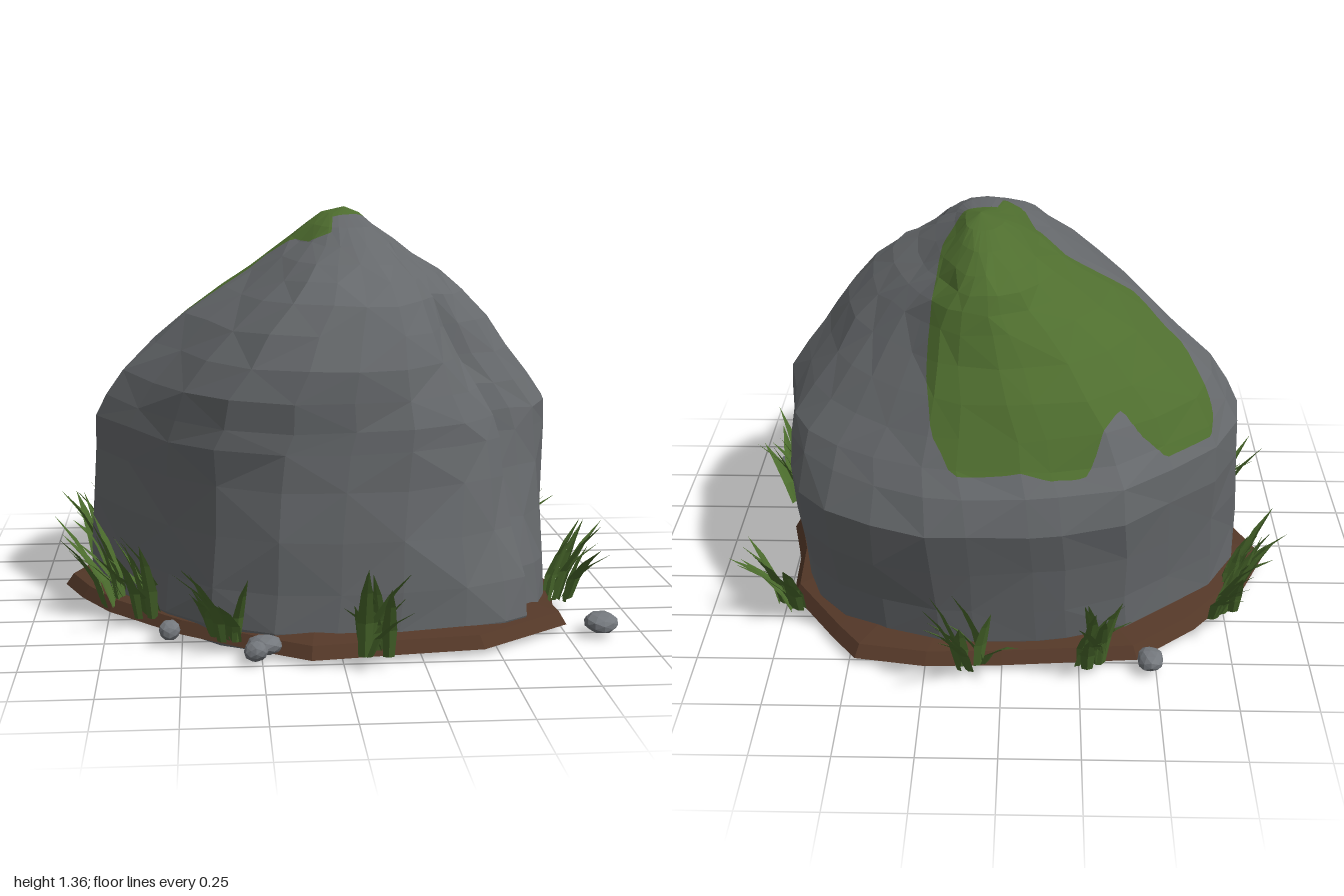
import * as THREE from 'three';

const mat = (name, color, opts = {}) => {
  const m = new THREE.MeshStandardMaterial({ color, flatShading: true, side: THREE.DoubleSide, ...opts });
  m.name = name;
  return m;
};

// Small seeded random generator
let seed = 7;
const rand = () => {
  seed = (seed * 16807) % 2147483647;
  return seed / 2147483647;
};
const spread = (a) => (rand() * 2 - 1) * a;

const meshFrom = (name, positions, material) => {
  const g = new THREE.BufferGeometry();
  g.setAttribute('position', new THREE.Float32BufferAttribute(positions, 3));
  g.computeVertexNormals();
  const m = new THREE.Mesh(g, material);
  m.name = name;
  return m;
};

// Triangles between stacked closed loops of Vector3
function loft(loops) {
  const tris = [];
  for (let r = 0; r < loops.length - 1; r++) {
    const lo = loops[r], hi = loops[r + 1], n = lo.length;
    for (let c = 0; c < n; c++) {
      const d = (c + 1) % n;
      if ((r + c) % 2) tris.push([lo[c], hi[c], lo[d]], [lo[d], hi[c], hi[d]]);
      else tris.push([lo[c], hi[c], hi[d]], [lo[c], hi[d], lo[d]]);
    }
  }
  return tris;
}
const flat = (tris) => tris.flat().flatMap((p) => [p.x, p.y, p.z]);

// Boulder plan outline: x, z, inset that forms the crack
const OUTLINE = [
  [0.1, -0.84], [0.22, -0.83], [0.4, -0.77], [0.55, -0.68], [0.65, -0.55], [0.7, -0.4], [0.71, -0.2],
  [0.75, 0], [0.755, 0.12], [0.755, 0.26, 0.01], [0.73, 0.38, 0.03], [0.68, 0.46, 0.06],
  [0.655, 0.5, 0.07], [0.64, 0.52], [0.56, 0.58], [0.42, 0.63], [0.2, 0.67], [0, 0.68], [-0.2, 0.66],
  [-0.4, 0.55], [-0.55, 0.38], [-0.7, 0.15], [-0.82, -0.1], [-0.8, -0.25], [-0.7, -0.45],
  [-0.55, -0.6], [-0.4, -0.74], [-0.2, -0.81], [-0.1, -0.83],
];
// Boulder levels: y, min x, max x, min z, max z, then hollow at the crack, hollow at the back, bulge at the left
const LEVELS = [
  [0.02, -0.73, 0.65, -0.69, 0.63, 0, 0, 0], [0, -0.76, 0.68, -0.72, 0.66, 0, 0, 0],
  [0.07, -0.82, 0.73, -0.74, 0.67, 0, 0, 0], [0.2, -0.815, 0.74, -0.765, 0.675, 0.03, 0, 0],
  [0.36, -0.81, 0.75, -0.8, 0.68, 0.1, -0.02, 0], [0.52, -0.8, 0.765, -0.845, 0.675, 0.15, -0.01, 0.02],
  [0.64, -0.79, 0.775, -0.825, 0.675, 0.19, 0.05, 0.05], [0.71, -0.75, 0.775, -0.79, 0.675, 0.22, 0.08, 0.07],
  [0.8, -0.69, 0.715, -0.75, 0.675, 0.25, 0.11, 0.09], [0.9, -0.58, 0.645, -0.71, 0.67, 0.29, 0.15, 0.11],
  [1, -0.47, 0.57, -0.65, 0.63, 0.3, 0.18, 0.13], [1.09, -0.34, 0.48, -0.61, 0.58, 0.28, 0.2, 0.14],
  [1.15, -0.25, 0.4, -0.585, 0.5, 0.25, 0.2, 0.13], [1.2, -0.18, 0.31, -0.56, 0.41, 0.2, 0.2, 0.12],
  [1.25, -0.11, 0.24, -0.51, 0.26, 0.12, 0.18, 0.1], [1.3, -0.05, 0.17, -0.43, 0.11, 0.05, 0.1, 0.05],
  [1.335, 0, 0.13, -0.32, -0.1, 0, 0, 0], [1.355, 0.08, 0.08, -0.2, -0.2, 0, 0, 0],
];
// Moss patch outline seen from above
const MOSS = [
  [-0.69, -0.35], [-0.67, -0.48], [-0.6, -0.61], [-0.5, -0.6], [-0.42, -0.62], [-0.37, -0.6], [-0.27, -0.74],
  [-0.2, -0.77], [0, -0.78], [0.15, -0.78], [0.22, -0.7], [0.24, -0.58], [0.2, -0.25], [0.14, -0.11],
  [0.03, -0.07], [0.01, 0.13], [-0.06, 0.1], [-0.1, -0.08], [-0.2, -0.15], [-0.26, -0.12], [-0.43, -0.08],
  [-0.52, -0.17], [-0.6, -0.2],
];

// Signed distance into the moss patch, positive inside
function mossField(p) {
  let best = 9, inside = false;
  MOSS.forEach(([ax, az], i) => {
    const [bx, bz] = MOSS[(i + 1) % MOSS.length];
    const dx = bx - ax, dz = bz - az;
    const t = THREE.MathUtils.clamp(((p.x - ax) * dx + (p.z - az) * dz) / (dx * dx + dz * dz), 0, 1);
    best = Math.min(best, Math.hypot(p.x - ax - t * dx, p.z - az - t * dz));
    if ((az > p.z) !== (bz > p.z) && p.x < ax + ((p.z - az) / dz) * dx) inside = !inside;
  });
  return Math.min(inside ? best : -best, p.y - 0.68);
}

const mid = (a, b) => a.clone().lerp(b, 0.5);
const subdivide = (tris) => tris.flatMap(([a, b, c]) => {
  const ab = mid(a, b), bc = mid(b, c), ca = mid(c, a);
  return [[a, ab, ca], [ab, b, bc], [ca, bc, c], [ab, bc, ca]];
});

// Keep the part of a triangle where sign * mossField is positive
function clip(tri, sign) {
  const f = tri.map((p) => sign * mossField(p)), poly = [];
  for (let i = 0; i < 3; i++) {
    const j = (i + 1) % 3;
    if (f[i] >= 0) poly.push(tri[i]);
    if ((f[i] >= 0) !== (f[j] >= 0)) poly.push(tri[i].clone().lerp(tri[j], f[i] / (f[i] - f[j])));
  }
  return poly.slice(2).map((p, i) => [poly[0], poly[i + 1], p]);
}

// Smooth bump around a plan angle
const bump = (angle, centre, width) => Math.exp((Math.cos(angle - centre) - 1) * 2 / (width * width));

function boulderTriangles() {
  const loops = LEVELS.map(([y, x0, x1, z0, z1, crackHollow, backHollow, bulge], r) => {
    const cx = (x0 + x1) / 2, cz = (z0 + z1) / 2;
    return OUTLINE.map(([ox, oz, crack = 0]) => {
      const x = x0 + ((ox + 0.82) / 1.575) * (x1 - x0), z = z0 + ((oz + 0.84) / 1.52) * (z1 - z0);
      const a = Math.atan2(oz, ox), cut = r > 1 && y < 1.22 ? crack : 0;
      const k = 1 - cut - crackHollow * bump(a, 0.66, 0.42) - backHollow * bump(a, -0.9, 0.47)
        + bulge * (bump(a, 2.4, 0.4) + 0.8 * bump(a, -2.45, 0.4));
      const j = r > 2 && y < 1.3 ? 0.006 : 0;
      return new THREE.Vector3(cx + (x - cx) * k + spread(j), y + spread(j), cz + (z - cz) * k + spread(j));
    });
  });
  return loft(loops);
}

// Dirt bank outline
const BANK = [
  [0, -0.8], [0.25, -0.81], [0.48, -0.77], [0.56, -0.66], [0.73, -0.4], [0.74, -0.15], [0.79, 0.07],
  [0.75, 0.32], [0.76, 0.47], [0.45, 0.7], [0.2, 0.73], [-0.1, 0.77], [-0.27, 0.66], [-0.52, 0.47],
  [-0.75, 0.22], [-0.85, 0.05], [-0.92, -0.12], [-0.83, -0.33], [-0.64, -0.58], [-0.44, -0.76],
];
function dirtBank(material) {
  const section = [[0.92, 0.015], [1, 0.02], [0.97, 0.06], [0.84, 0.08], [0.92, 0.015]];
  const loops = section.map(([s, y]) => BANK.map(([x, z]) => new THREE.Vector3(x * s, y, z * s)));
  return meshFrom('dirtBank', flat(loft(loops)), material);
}

// Tuft of curved tapering blades leaning outward along an angle
function grassTuft(x, z, angle, size, material) {
  const pos = [];
  for (let b = 0; b < 11; b++) {
    const a = angle + spread(1), h = size * (0.5 + rand() * 0.5), reach = size * (0.22 + rand() * 0.4);
    const bx = x + spread(0.045), bz = z + spread(0.045), w = 0.018 + rand() * 0.008;
    const dx = Math.cos(a), dz = Math.sin(a);
    const rows = [0, 0.35, 0.7, 1].map((t, i) => {
      const out = reach * t ** 1.6, half = w * [0.75, 1, 0.65, 0][i];
      const cx = bx + dx * out, cz = bz + dz * out, y = 0.04 + h * (t - 0.06 * t * t);
      const fold = 0.4 * half;
      return [[cx - dz * half, y, cz + dx * half], [cx + dx * fold, y, cz + dz * fold], [cx + dz * half, y, cz - dx * half]];
    });
    for (let i = 0; i < 3; i++) {
      for (let s = 0; s < 2; s++) {
        const p = rows[i], q = rows[i + 1];
        pos.push(...p[s], ...p[s + 1], ...q[s], ...q[s], ...p[s + 1], ...q[s + 1]);
      }
    }
  }
  return meshFrom('grassTuft', pos, material);
}

function pebble(x, z, rx, rz, material) {
  const g = new THREE.IcosahedronGeometry(1, 1), p = g.attributes.position;
  for (let i = 0; i < p.count; i++) {
    const k = 1 + 0.09 * Math.sin(p.getX(i) * 3 + x * 9) * Math.cos(p.getZ(i) * 2 + p.getY(i) * 2);
    p.setXYZ(i, p.getX(i) * k, p.getY(i) * k, p.getZ(i) * k);
  }
  const m = new THREE.Mesh(g, material);
  m.name = 'pebble';
  m.scale.set(rx, 0.033, rz);
  m.position.set(x, 0.045, z);
  return m;
}

export function createModel() {
  const group = new THREE.Group();
  group.name = 'mossyBoulder';
  const rock = mat('rock grey', 0x66696c), moss = mat('moss green', 0x4f6e2f);
  const grass = mat('grass green', 0x4a6a2c), dirt = mat('dirt brown', 0x543828);
  const stone = mat('pebble grey', 0x74787d, { side: THREE.FrontSide });

  // Boulder and its moss share one surface, split along the moss edge
  const tris = subdivide(subdivide(boulderTriangles()));
  group.add(meshFrom('boulder', flat(tris.flatMap((t) => clip(t, -1))), rock));
  group.add(meshFrom('mossPatch', flat(tris.flatMap((t) => clip(t, 1))), moss));
  group.add(dirtBank(dirt));

  // Grass around the base: x, z, size
  [
    [-0.29, -0.81, 0.32], [0.1, -0.82, 0.32], [-0.74, -0.5, 0.34], [-0.78, -0.35, 0.3], [-0.73, 0.19, 0.33],
    [-0.6, 0.33, 0.31], [-0.37, 0.59, 0.31], [0.1, 0.77, 0.35], [0.77, 0.25, 0.34], [0.73, -0.48, 0.34],
  ].forEach(([x, z, s]) => group.add(grassTuft(x, z, Math.atan2(z, x), s, grass)));

  // Loose pebbles
  [
    [-0.48, -0.79, 0.045, 0.058], [-0.54, 0.51, 0.038, 0.036], [-0.24, 0.68, 0.055, 0.05],
    [-0.27, 0.74, 0.036, 0.032], [0.86, 0.53, 0.06, 0.06],
  ].forEach((p) => group.add(pebble(...p, stone)));
  return group;
}
